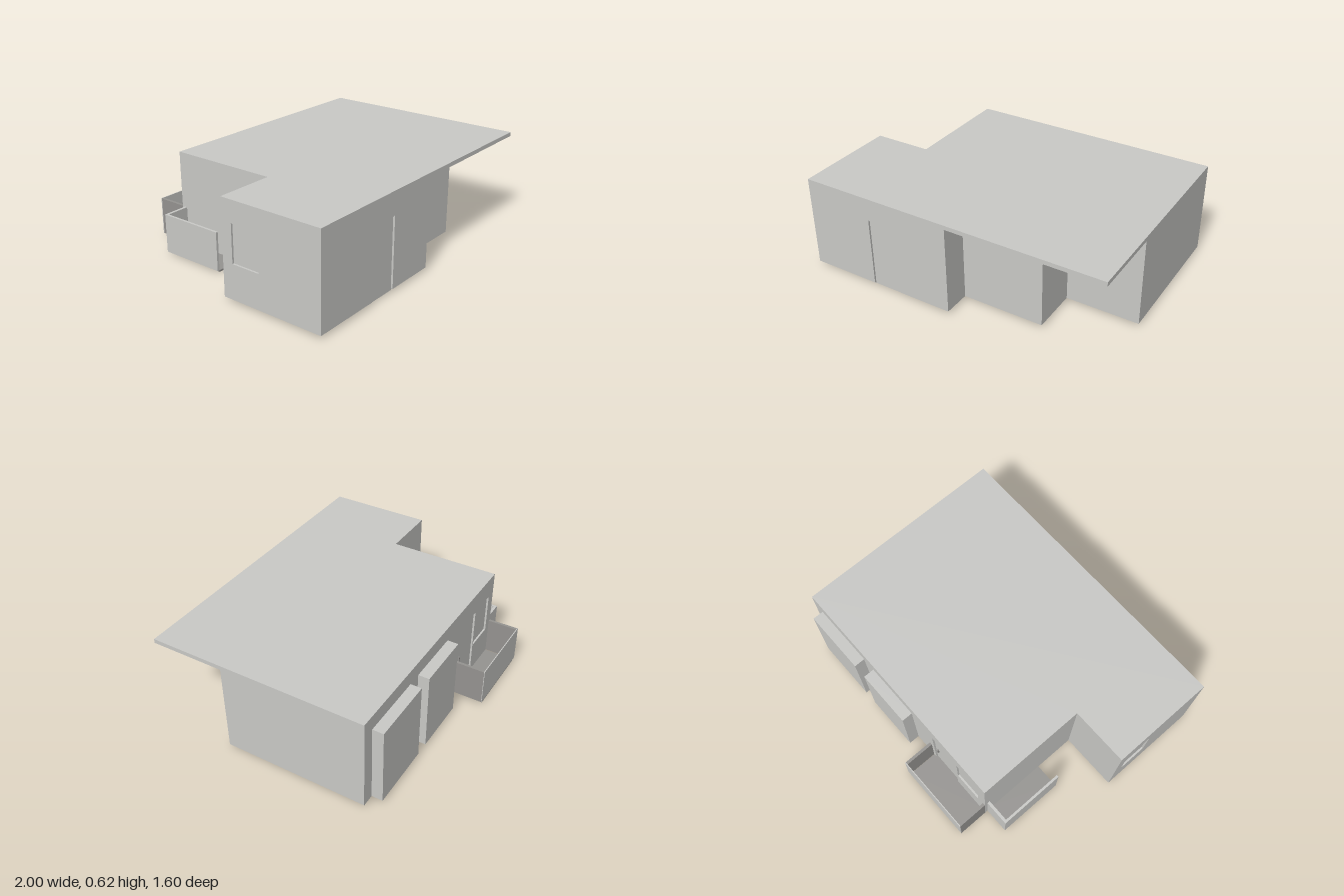
import * as THREE from 'three';

const light = new THREE.MeshStandardMaterial({ color: 0xc9c9c6 });
light.name = 'pale plaster';
const dark = new THREE.MeshStandardMaterial({ color: 0x959390 });
dark.name = 'grey concrete';

const WALL_BASE = 0.02, WALL_TOP = 0.59, THICK = 0.02, RECESS = 0.012;

function add(parent, name, geometry, material) {
  const mesh = new THREE.Mesh(geometry, material);
  mesh.name = name;
  parent.add(mesh);
  return mesh;
}

// box given by its limits on each axis
function box(parent, name, material, x0, x1, y0, y1, z0, z1) {
  const mesh = add(parent, name, new THREE.BoxGeometry(x1 - x0, y1 - y0, z1 - z0), material);
  mesh.position.set((x0 + x1) / 2, (y0 + y1) / 2, (z0 + z1) / 2);
  return mesh;
}

// flat slab from a plan outline of [x, z] points
function slab(parent, name, material, plan, y0, y1) {
  const shape = new THREE.Shape(plan.map(([x, z]) => new THREE.Vector2(x, -z)));
  const geometry = new THREE.ExtrudeGeometry(shape, { depth: y1 - y0, bevelEnabled: false });
  geometry.rotateX(-Math.PI / 2).translate(0, y0, 0);
  return add(parent, name, geometry, material);
}

// wall from a to b, outside on local +z; openings are { name, u0, u1, y0, y1 } along it
function wall(parent, a, b, openings = []) {
  const dx = b[0] - a[0], dz = b[1] - a[1], length = Math.hypot(dx, dz);
  const group = new THREE.Group();
  group.name = 'wall';
  group.position.set(a[0], 0, a[1]);
  group.rotation.y = Math.atan2(-dz, dx);
  parent.add(group);

  const shape = new THREE.Shape();
  shape.moveTo(0, WALL_BASE);
  for (const o of openings) {
    if (o.y0 <= WALL_BASE) {
      // doors cut the bottom edge
      shape.lineTo(o.u0, WALL_BASE);
      shape.lineTo(o.u0, o.y1);
      shape.lineTo(o.u1, o.y1);
      shape.lineTo(o.u1, WALL_BASE);
    } else {
      const hole = new THREE.Path();
      hole.moveTo(o.u0, o.y0);
      hole.lineTo(o.u0, o.y1);
      hole.lineTo(o.u1, o.y1);
      hole.lineTo(o.u1, o.y0);
      hole.closePath();
      shape.holes.push(hole);
    }
    // recessed leaf or pane
    box(group, o.name, light, o.u0, o.u1, o.y0, o.y1, -THICK, -RECESS);
  }
  shape.lineTo(length, WALL_BASE);
  shape.lineTo(length, WALL_TOP);
  shape.lineTo(0, WALL_TOP);
  const geometry = new THREE.ExtrudeGeometry(shape, { depth: THICK, bevelEnabled: false });
  add(group, 'wallPanel', geometry.translate(0, 0, -THICK), light);
}

export function createModel() {
  const model = new THREE.Group();
  model.name = 'house';

  // stepped outer walls
  const plan = [
    [-1, 0.8], [0, 0.8], [0, 0.625], [0.53, 0.625], [0.53, 0.325],
    [1, 0.325], [1, -0.6], [-0.625, -0.6], [-0.625, 0.12], [-1, 0.12],
  ];
  const openings = {
    0: [{ name: 'frontDoor', u0: 0.45, u1: 0.65, y0: 0.01, y1: 0.47 }],
    6: [
      { name: 'balconyDoor', u0: 1.145, u1: 1.36, y0: 0.01, y1: 0.48 },
      { name: 'balconyWindow', u0: 1.37, u1: 1.56, y0: 0.22, y1: 0.48 },
    ],
    9: [{ name: 'sideWindow', u0: 0.07, u1: 0.26, y0: 0.24, y1: 0.48 }],
  };
  plan.forEach((p, i) => wall(model, p, plan[(i + 1) % plan.length], openings[i]));

  // floor, slightly set back from the walls
  slab(model, 'floor', dark, [
    [-0.98, 0.785], [-0.015, 0.785], [-0.015, 0.61], [0.515, 0.61], [0.515, 0.31],
    [0.985, 0.31], [0.985, -0.585], [-0.61, -0.585], [-0.61, 0.135], [-0.98, 0.135],
  ], 0.01, 0.025);

  // roof, overhanging the stepped front
  slab(model, 'roof', light, [
    [-1, 0.8], [1, 0.8], [1, -0.6], [-0.625, -0.6], [-0.625, 0.12], [-1, 0.12],
  ], WALL_TOP, 0.617);

  // two shallow bays at the back
  for (const [x0, x1] of [[0.04, 0.41], [0.5, 0.92]])
    box(model, 'backBay', light, x0, x1, 0.02, 0.525, -0.67, -0.6);

  // back balcony
  const back = new THREE.Group();
  back.name = 'backBalcony';
  model.add(back);
  box(back, 'balconyFloor', dark, -0.61, -0.12, 0.002, 0.013, -0.795, -0.585);
  for (const x of [-0.625, -0.12])
    box(back, 'balconyEnd', dark, x, x + 0.018, 0.02, 0.26, -0.796, -0.6);
  box(back, 'balconyParapet', light, -0.625, -0.102, 0.02, 0.262, -0.8, -0.794);

  // door handle
  box(back, 'doorHandle', dark, -0.175, -0.165, 0.2, 0.25, -0.598, -0.586);

  // side balcony, open towards the front
  const side = new THREE.Group();
  side.name = 'sideBalcony';
  model.add(side);
  box(side, 'balconyFloor', dark, -0.775, -0.61, 0, 0.011, -0.56, -0.145);
  box(side, 'balconyParapet', light, -0.79, -0.775, 0.01, 0.26, -0.58, -0.145);
  box(side, 'balconyEnd', light, -0.775, -0.625, 0.01, 0.26, -0.58, -0.562);

  return model;
}
